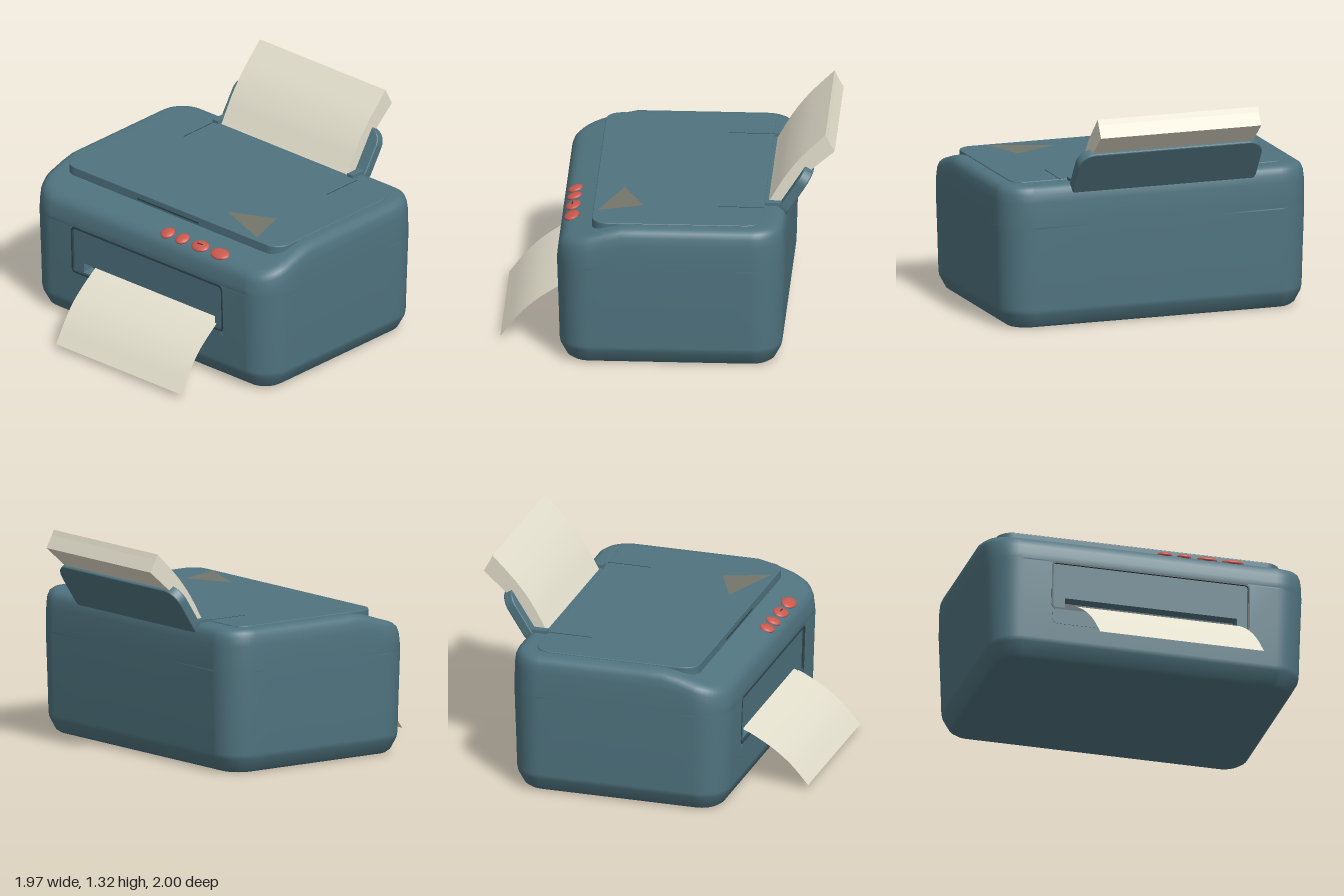
import * as THREE from 'three';

const mat = (name, color, side = THREE.FrontSide) => {
  const m = new THREE.MeshStandardMaterial({ color, side });
  m.name = name;
  return m;
};

// Rounded rectangle, drawn as a Shape or as a hole Path
function roundRect(x0, y0, x1, y1, r, P = THREE.Shape) {
  const p = new P();
  p.moveTo(x0 + r, y0);
  p.lineTo(x1 - r, y0); p.absarc(x1 - r, y0 + r, r, -Math.PI / 2, 0);
  p.lineTo(x1, y1 - r); p.absarc(x1 - r, y1 - r, r, 0, Math.PI / 2);
  p.lineTo(x0 + r, y1); p.absarc(x0 + r, y1 - r, r, Math.PI / 2, Math.PI);
  p.lineTo(x0, y0 + r); p.absarc(x0 + r, y0 + r, r, Math.PI, Math.PI * 1.5);
  return p;
}

const extrude = (shape, depth, bevel = 0) => new THREE.ExtrudeGeometry(shape, {
  depth, curveSegments: 10, bevelEnabled: bevel > 0,
  bevelSize: bevel, bevelThickness: bevel, bevelOffset: -bevel, bevelSegments: 3,
});

// Height of the case top: flat, then sloping down to the control strip
const topY = (z) => Math.min(0.88, 0.77 + (0.63 - z) * 0.318);
const ZC = -0.035;

// One horizontal outline of the case, counterclockwise from above
function outline(inset) {
  const cx = 0.785, cz = 0.485, r = 0.2 - inset, pts = [];
  const corner = (sx, sz, a0) => {
    for (let i = 0; i <= 10; i++) {
      const a = a0 + (i / 10) * Math.PI / 2;
      pts.push([sx * cx + r * Math.cos(a), ZC + sz * cz - r * Math.sin(a)]);
    }
  };
  for (const x of [-0.61, -0.3, 0, 0.3, 0.61]) pts.push([x, ZC + cz + r]);
  corner(1, 1, -Math.PI / 2);
  for (let i = 1; i < 10; i++) pts.push([cx + r, ZC + cz * (1 - i / 5)]);
  corner(1, -1, 0);
  for (const x of [0.4, 0, -0.4]) pts.push([x, ZC - cz - r]);
  corner(-1, -1, Math.PI / 2);
  for (let i = 1; i < 10; i++) pts.push([-cx - r, ZC + cz * (i / 5 - 1)]);
  corner(-1, 1, Math.PI);
  return pts;
}

// Case shell lofted from outlines, with an opening in the front wall
function caseGeometry() {
  const lower = [[0.12, 0], [0.085, 0.003], [0.06, 0.02], [0.022, 0.09], [0.016, 0.12],
    [0.01, 0.325], [0, 0.62], [0.006, 0.625], [0, 0.63]];
  const upper = [[0.003, 0.1], [0.009, 0.05], [0.022, 0.02], [0.045, 0.004], [0.07, 0]];
  const rings = lower.map(([d, y]) => outline(d).map(([x, z]) => [x, y, z]));
  for (const [d, drop] of upper) rings.push(outline(d).map(([x, z]) => [x, topY(z) - drop, z]));
  const rim = outline(0.07);
  for (const s of [0.96, 0.9, 0.8, 0.65, 0.45, 0.2]) {
    rings.push(rim.map(([x, z]) => [x * s, topY(ZC + (z - ZC) * s), ZC + (z - ZC) * s]));
  }
  const n = rim.length, pos = rings.flat(2), idx = [];
  const bottom = rings.length * n, top = bottom + 1;
  pos.push(0, 0, ZC, 0, 0.88, ZC);
  for (let j = 0; j < rings.length - 1; j++) {
    for (let i = 0; i < n; i++) {
      if (j === 5 && i < 4) continue; // output opening
      const k = (i + 1) % n, a = j * n + i, b = j * n + k;
      idx.push(a, b, b + n, a, b + n, a + n);
    }
  }
  const last = (rings.length - 1) * n;
  for (let i = 0; i < n; i++) {
    const k = (i + 1) % n;
    idx.push(bottom, k, i, top, last + i, last + k);
  }
  const g = new THREE.BufferGeometry();
  g.setAttribute('position', new THREE.Float32BufferAttribute(pos, 3));
  g.setIndex(idx);
  g.computeVertexNormals();
  return g;
}

export function createModel() {
  const model = new THREE.Group();
  model.name = 'printer';
  const teal = mat('case teal', 0x507480);
  const dark = mat('gap dark teal', 0x30474f);
  const red = mat('button red', 0xcb584d);
  const cream = mat('paper cream', 0xe4e0ce, THREE.DoubleSide);
  const brown = mat('patch grey brown', 0x74766a);

  const add = (name, geo, material, parent = model, x = 0, y = 0, z = 0) => {
    const m = new THREE.Mesh(geo, material);
    m.name = name;
    m.position.set(x, y, z);
    parent.add(m);
    return m;
  };
  const box = (w, h, d) => new THREE.BoxGeometry(w, h, d);

  add('case', caseGeometry(), teal);

  // Scanner lid with its finger slot and rear seams
  const lid = extrude(roundRect(-0.88, -0.44, 0.88, 0.58, 0.1), 0.055, 0.006);
  lid.rotateX(-Math.PI / 2);
  add('lid', lid, teal, model, 0, 0.826, 0);
  add('lidFingerSlot', box(0.5, 0.01, 0.008), dark, model, -0.02, 0.848, 0.438);
  for (const s of [-1, 1]) {
    add('lidSeam', box(0.005, 0.004, 0.27), dark, model, s * 0.585, 0.886, -0.445);
    add('hinge', box(0.045, 0.04, 0.1), teal, model, -0.03 + s * 0.55, 0.88, -0.635);
  }

  // Triangular patch on the lid
  const tri = new THREE.Shape([[0.31, -0.27], [0.68, -0.41], [0.59, -0.14]]
    .map(([x, y]) => new THREE.Vector2(x, y)));
  const patch = new THREE.ShapeGeometry(tri);
  patch.rotateX(-Math.PI / 2);
  add('lidPatch', patch, brown, model, 0, 0.8895, 0);

  // Front output bay: rim, recessed panel with slot, dark interior
  const bay = new THREE.Group();
  bay.name = 'outputBay';
  bay.position.set(0, 0.4725, 0.645);
  bay.rotation.x = 0.034;
  model.add(bay);
  const rim = roundRect(-0.617, -0.155, 0.617, 0.155, 0.03);
  rim.holes.push(roundRect(-0.606, -0.143, 0.606, 0.143, 0.022, THREE.Path));
  add('bayRim', extrude(rim, 0.06), dark, bay, 0, 0, -0.058);
  const panel = roundRect(-0.612, -0.15, 0.612, 0.15, 0.02);
  panel.holes.push(roundRect(-0.53, -0.138, 0.54, -0.075, 0.005, THREE.Path));
  add('bayPanel', extrude(panel, 0.08), teal, bay, 0, 0, -0.092);
  add('slotInterior', box(1.15, 0.12, 0.01), dark, bay, 0, -0.1, -0.11);
  add('bayLowerPlate', extrude(roundRect(-0.61, -0.25, 0.61, -0.155, 0.03), 0.01), teal, bay, 0, 0, -0.007);

  // Printed sheet curling out of the slot
  const curl = new THREE.CatmullRomCurve3(
    [[0.55, 0.388], [0.65, 0.342], [0.8, 0.245], [0.9, 0.153], [1.0, 0.028]]
      .map(([z, y]) => new THREE.Vector3(0, y, z)));
  const sheet = new THREE.PlaneGeometry(1, 1, 6, 16);
  const sp = sheet.attributes.position;
  for (let i = 0; i < sp.count; i++) {
    const t = 0.5 - sp.getY(i), p = curl.getPoint(t);
    sp.setXYZ(i, 0.03 + sp.getX(i) * 1.02 + 0.065 * t, p.y, p.z);
  }
  sheet.computeVertexNormals();
  add('printedSheet', sheet, cream);

  // Rear paper support, leaning back
  const support = add('paperSupport',
    extrude(roundRect(-0.615, 0, 0.56, 0.365, 0.1), 0.044, 0.008), teal, model, 0, 0.784, -0.673);
  support.rotation.x = -0.57;

  // Paper stack: side profile in (-z, y), swept across x
  const v = (x, y) => new THREE.Vector2(x, y);
  const profile = new THREE.Shape();
  profile.moveTo(0.58, 0.84);
  profile.splineThru([v(0.615, 0.9), v(0.7, 1.045), v(0.8, 1.175), v(0.945, 1.322)]);
  profile.lineTo(0.96, 1.29);
  profile.lineTo(1.0, 1.217);
  profile.lineTo(0.86, 1.095);
  profile.lineTo(0.69, 0.84);
  const stack = extrude(profile, 1.025);
  stack.rotateY(Math.PI / 2);
  add('paperStack', stack, cream, model, -0.545, 0, 0);

  // Control buttons on the sloping strip
  for (const [x, rx] of [[0.105, 0.045], [0.225, 0.043], [0.37, 0.062], [0.53, 0.068]]) {
    const b = add('button', new THREE.SphereGeometry(1, 24, 12), red, model, x, topY(0.575) + 0.002, 0.575);
    b.scale.set(rx, 0.018, 0.047);
    b.rotation.x = 0.308;
  }
  add('buttonMark', box(0.04, 0.006, 0.008), dark, model, 0.37, topY(0.575) + 0.018, 0.58);

  return model;
}
